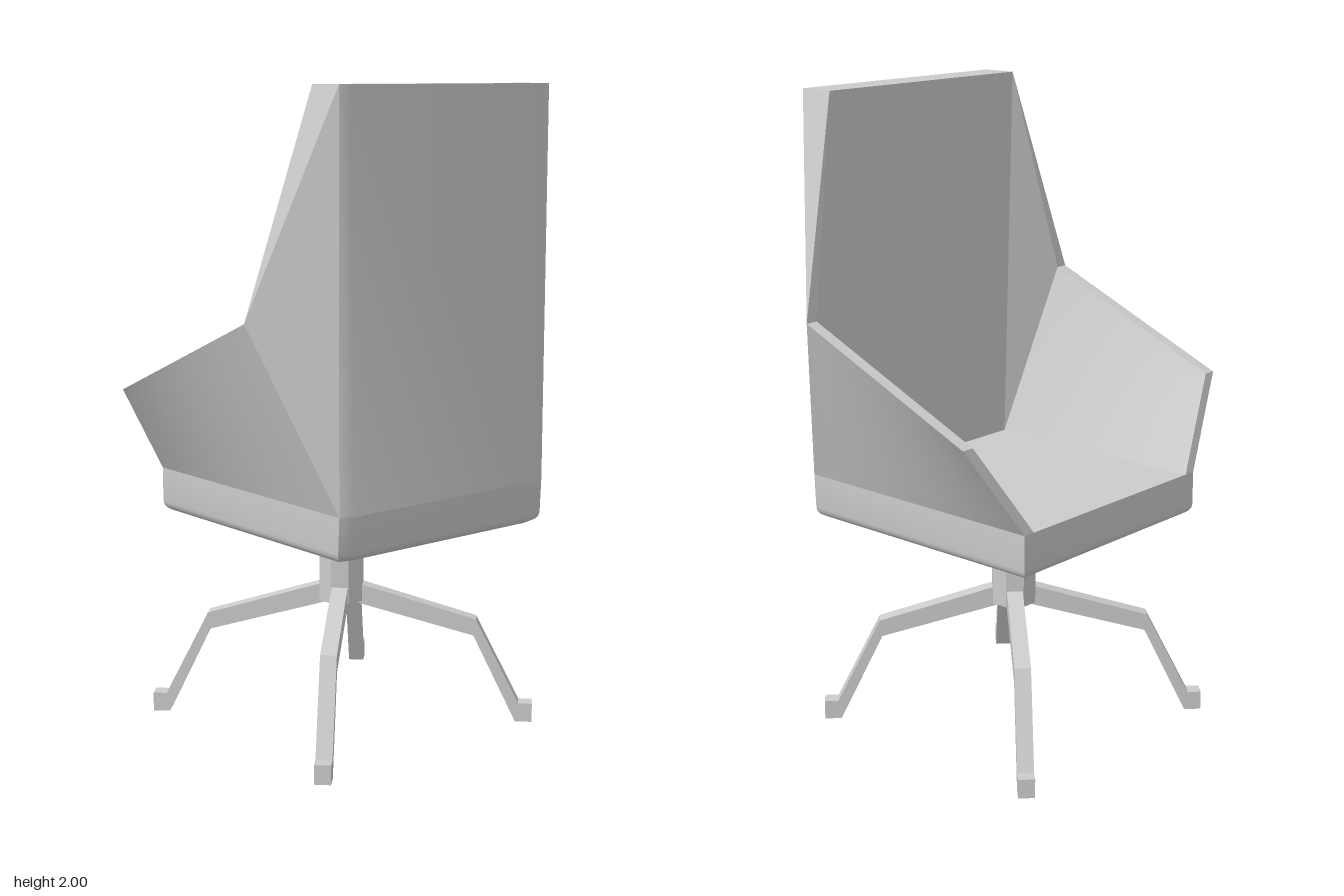
import * as THREE from 'three';
import { ConvexGeometry } from 'three/addons/geometries/ConvexGeometry.js';
import { toCreasedNormals } from 'three/addons/utils/BufferGeometryUtils.js';

const grey = new THREE.MeshStandardMaterial({ color: 0xcccccc });
const lerp = THREE.MathUtils.lerp;

function part(name, geometry) {
  const mesh = new THREE.Mesh(geometry, grey);
  mesh.name = name;
  return mesh;
}

// Closed solid from horizontal rings, listed bottom to top; each ring is [y, [[x, z], ...]]
function loft(rings, crease) {
  const n = rings[0][1].length, pos = [], index = [];
  for (const [y, pts] of rings) for (const [x, z] of pts) pos.push(x, y, z);
  for (let r = 0; r < rings.length - 1; r++) {
    for (let i = 0; i < n; i++) {
      const a = r * n + i, b = r * n + (i + 1) % n;
      index.push(a, b, a + n, b, b + n, a + n);
    }
  }
  const top = (rings.length - 1) * n;
  for (let i = 1; i < n - 1; i++) {
    index.push(0, i + 1, i, top, top + i, top + i + 1);
  }
  const g = new THREE.BufferGeometry();
  g.setAttribute('position', new THREE.Float32BufferAttribute(pos, 3));
  g.setIndex(index);
  return toCreasedNormals(g, crease);
}

// Outline seen from above, with a shallow bulge on the back face
function outline(front, back, bulge, zFront, zBack) {
  const half = [[front, zFront], [back, zBack], [bulge, zBack - 0.04]];
  return [...half, ...half.map(([x, z]) => [x, -z]).reverse()];
}

// Slab that leans outwards and rises towards the back
function armGeometry(side) {
  const g = new THREE.BoxGeometry(1, 1, 1, 8, 8, 1);
  const p = g.attributes.position;
  for (let i = 0; i < p.count; i++) {
    const u = p.getX(i) + 0.5, v = p.getY(i) + 0.5, w = p.getZ(i) * side + 0.5;
    const x = lerp(lerp(-0.425, 0.335, u), lerp(-0.36, 0.26, u), v);
    const y = lerp(0.8, lerp(1.08, 1.345, u), v);
    const z = lerp(0.365, 0.55, v) + 0.04 * w;
    p.setXYZ(i, x, y, z * side);
  }
  g.computeVertexNormals();
  return g;
}

// Faceted piece joining arm and backrest
function wingGeometry(side) {
  const corners = [
    [0.335, 2, 0.405], [0.45, 2, 0.405],
    [0.26, 1.345, 0.55], [0.26, 1.345, 0.59],
    [0.335, 0.8, 0.365], [0.335, 0.8, 0.405], [0.45, 0.8, 0.405],
  ];
  return new ConvexGeometry(corners.map(([x, y, z]) => new THREE.Vector3(x, y, z * side)));
}

export function createModel() {
  const chair = new THREE.Group();
  chair.name = 'swivelChair';

  // Seat with a rounded lower edge
  const seatRings = [];
  for (let i = 0; i <= 4; i++) {
    const a = (i / 4) * Math.PI / 2;
    const inset = 0.03 * (1 - Math.sin(a)), y = 0.692 - 0.03 * Math.cos(a);
    seatRings.push([y, outline(-0.425 + inset, 0.445 - inset, 0.455 - inset, 0.405 - inset, 0.405 - inset)]);
  }
  seatRings.push([0.8, outline(-0.425, 0.45, 0.47, 0.405, 0.405)]);
  chair.add(part('seat', loft(seatRings, 0.6)));

  // Backrest
  chair.add(part('backrest', loft([
    [0.8, outline(0.335, 0.45, 0.47, 0.365, 0.405)],
    [2, outline(0.335, 0.45, 0.45, 0.405, 0.405)],
  ], 0.6)));

  // Armrests and wings
  for (const [name, side] of [['left', 1], ['right', -1]]) {
    chair.add(part(name + 'Armrest', armGeometry(side)));
    chair.add(part(name + 'Wing', wingGeometry(side)));
  }

  // Base: octagonal column and four bent legs
  const base = new THREE.Group();
  base.name = 'base';
  base.position.x = -0.027;
  const column = new THREE.CylinderGeometry(0.073, 0.073, 0.285, 8);
  column.rotateY(Math.PI / 8);
  column.translate(0, 0.5275, 0);
  base.add(part('column', toCreasedNormals(column, 0.5)));

  const profile = new THREE.Shape([
    [0.03, 0.385], [0.42, 0.28], [0.555, 0], [0.608, 0], [0.608, 0.06],
    [0.565, 0.06], [0.427, 0.333], [0.06, 0.44], [0.03, 0.44],
  ].map(([r, y]) => new THREE.Vector2(r, y)));
  const leg = new THREE.ExtrudeGeometry(profile, { depth: 0.05, bevelEnabled: false });
  leg.translate(0, 0, -0.025);
  for (let i = 0; i < 4; i++) {
    const mesh = part('leg', leg);
    mesh.rotation.y = Math.PI / 4 + i * Math.PI / 2;
    base.add(mesh);
  }
  chair.add(base);
  return chair;
}
